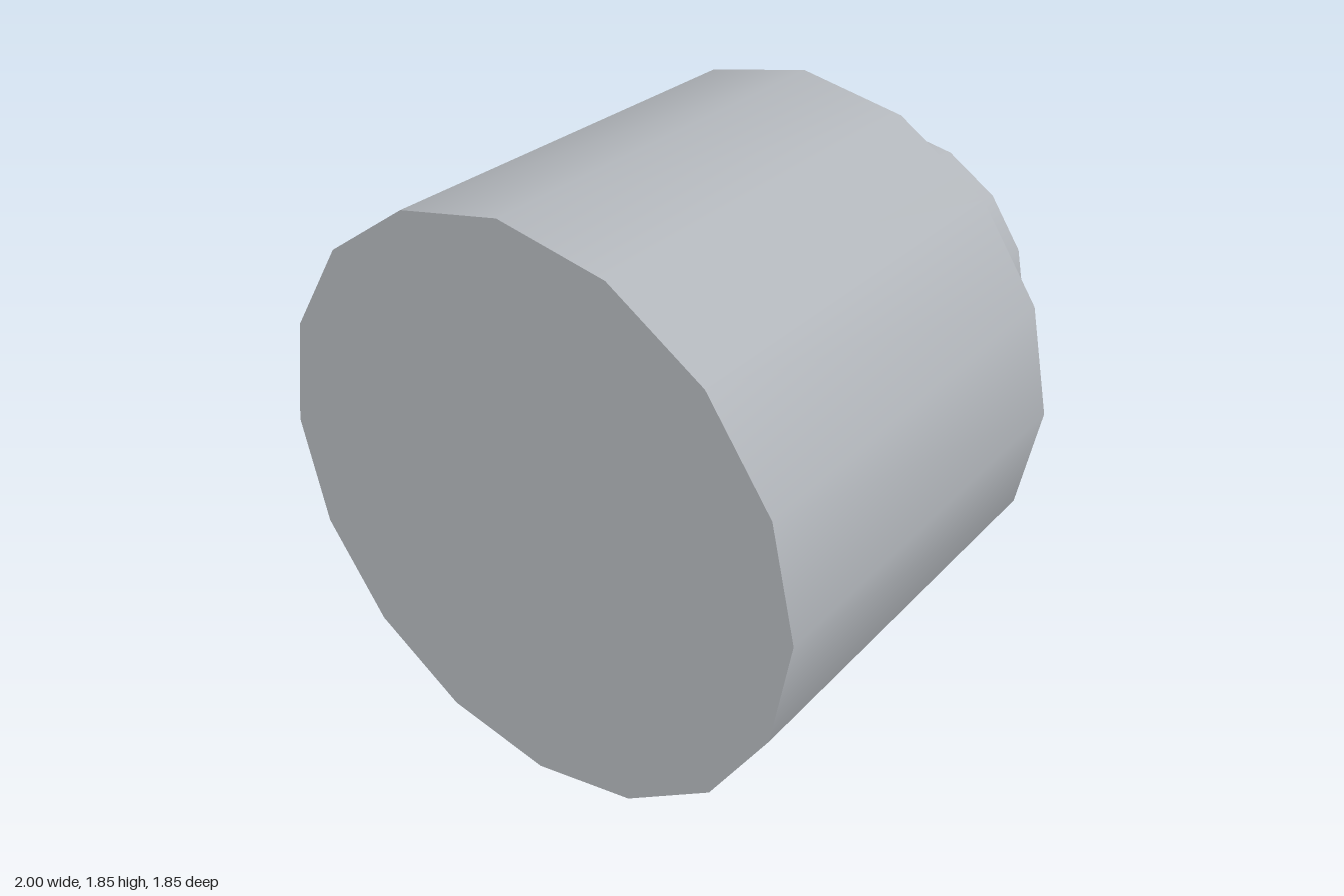
import * as THREE from 'three';

const SIDES = 16;
const BODY_RADIUS = 0.923;
const STUB_RADIUS = 0.537;
const SHOULDER_X = 0.383;

export function createModel() {
  const group = new THREE.Group();
  group.name = 'steppedCylinder';

  const steel = new THREE.MeshStandardMaterial({ color: 0xb2b6bb });
  steel.name = 'steel grey';

  // A 16-sided, smooth-shaded cylinder lying along x
  function addCylinder(name, radius, x0, x1) {
    const geometry = new THREE.CylinderGeometry(radius, radius, x1 - x0, SIDES);
    geometry.rotateZ(-Math.PI / 2);
    const mesh = new THREE.Mesh(geometry, steel);
    mesh.name = name;
    mesh.position.set((x0 + x1) / 2, BODY_RADIUS, 0);
    group.add(mesh);
  }

  // Wide body, then the narrower stub on its left end
  addCylinder('body', BODY_RADIUS, -1, SHOULDER_X);
  addCylinder('stub', STUB_RADIUS, SHOULDER_X, 1);

  return group;
}
